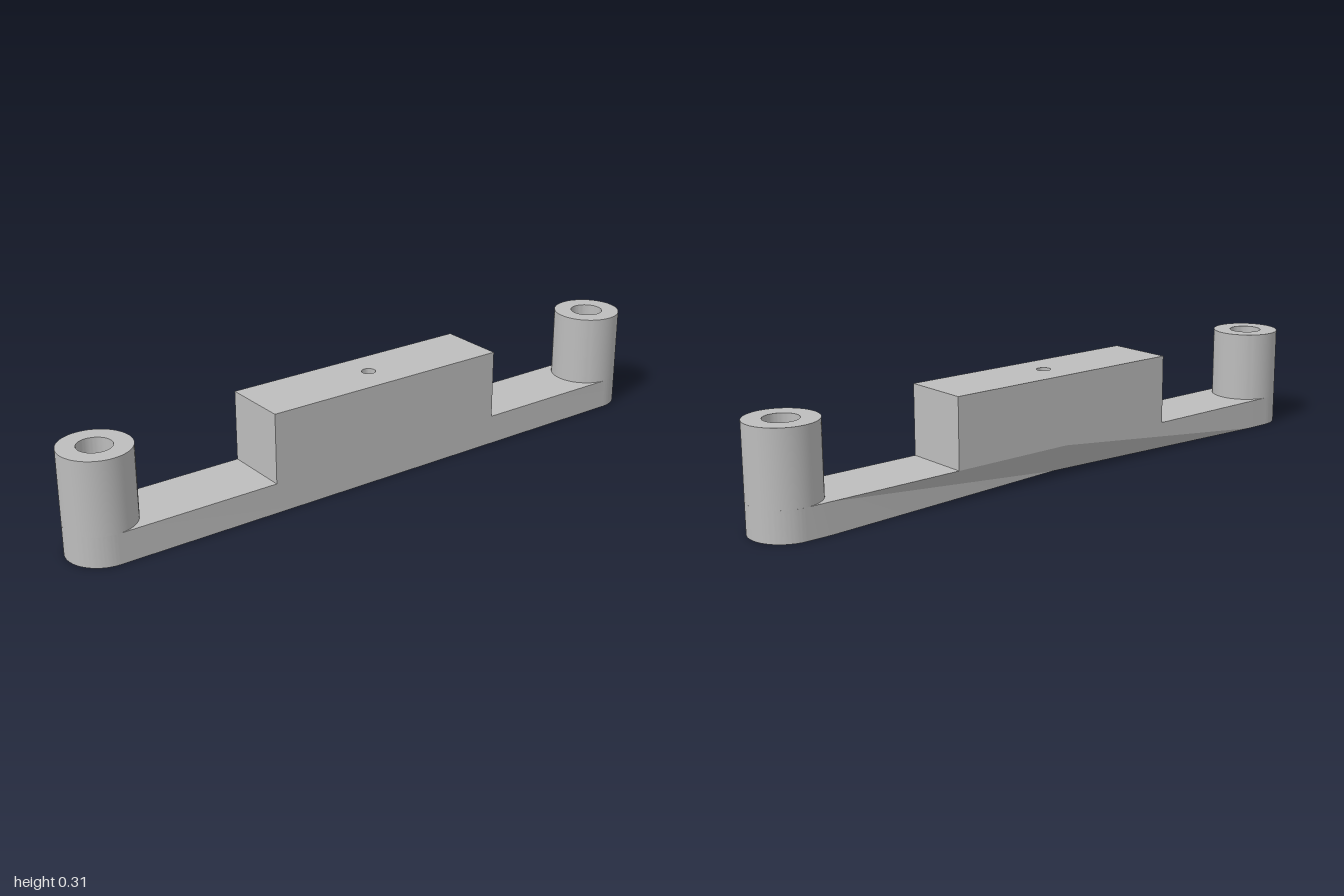
import * as THREE from 'three';
import { toCreasedNormals } from 'three/addons/utils/BufferGeometryUtils.js';

const R = 0.104;        // half width of the bar and radius of the end posts
const END = 0.896;      // distance of the post axes from the middle
const BAR = 0.092;      // thickness of the bar
const BLOCK_TOP = 0.305;
const POST_TOP = 0.31;
const BORE = 0.05;
const PIN = 0.021;
const NOTCH = -0.046;   // how far the lower right edge is pinched in

const material = new THREE.MeshStandardMaterial({ color: 0xbdbdbd });
material.name = 'grey';

function addHole(shape, z, radius) {
  const hole = new THREE.Path();
  hole.absarc(0, -z, radius, 0, Math.PI * 2, true);
  shape.holes.push(hole);
}

// Extrudes a plan shape (x, -z) upwards from y0 to y1
function extrudeUp(shape, y0, y1) {
  const g = new THREE.ExtrudeGeometry(shape, { depth: y1 - y0, bevelEnabled: false, curveSegments: 32 });
  g.rotateX(-Math.PI / 2);
  g.translate(0, y0, 0);
  return g;
}

function addPart(group, name, geometry) {
  const mesh = new THREE.Mesh(toCreasedNormals(geometry, 0.35), material);
  mesh.name = name;
  group.add(mesh);
}

// Round-ended bar whose right side is undercut towards the middle of the base
function barGeometry() {
  const s = new THREE.Shape();
  s.moveTo(R, -END);
  s.lineTo(R, END);
  s.absarc(0, END, R, 0, Math.PI, false);
  s.lineTo(-R, 0.82);
  s.lineTo(NOTCH, 0);
  s.lineTo(-R, -0.82);
  s.lineTo(-R, -END);
  s.absarc(0, -END, R, Math.PI, Math.PI * 2, false);
  addHole(s, -END, BORE);
  addHole(s, END, BORE);
  addHole(s, 0, PIN);
  const g = extrudeUp(s, 0, BAR);
  // The upper edge stays straight, so the pinched point moves back out there
  const p = g.attributes.position;
  for (let i = 0; i < p.count; i++) {
    const pinched = Math.abs(p.getX(i) - NOTCH) < 1e-4 && Math.abs(p.getZ(i)) < 1e-4;
    if (pinched && p.getY(i) > BAR / 2) p.setX(i, -R);
  }
  return g;
}

export function createModel() {
  const model = new THREE.Group();
  model.name = 'mountingBracket';

  addPart(model, 'bar', barGeometry());

  // Raised centre block with a pin hole
  const block = new THREE.Shape([
    new THREE.Vector2(-R, -0.4), new THREE.Vector2(R, -0.4),
    new THREE.Vector2(R, 0.4), new THREE.Vector2(-R, 0.4),
  ]);
  addHole(block, 0, PIN);
  addPart(model, 'centreBlock', extrudeUp(block, BAR, BLOCK_TOP));

  // Bored posts at both ends
  for (const [name, z] of [['frontPost', END], ['backPost', -END]]) {
    const ring = new THREE.Shape();
    ring.absarc(0, -z, R, 0, Math.PI * 2, false);
    addHole(ring, z, BORE);
    addPart(model, name, extrudeUp(ring, BAR, POST_TOP));
  }

  // The bracket sits very slightly askew
  model.rotation.y = -0.006;
  return model;
}
